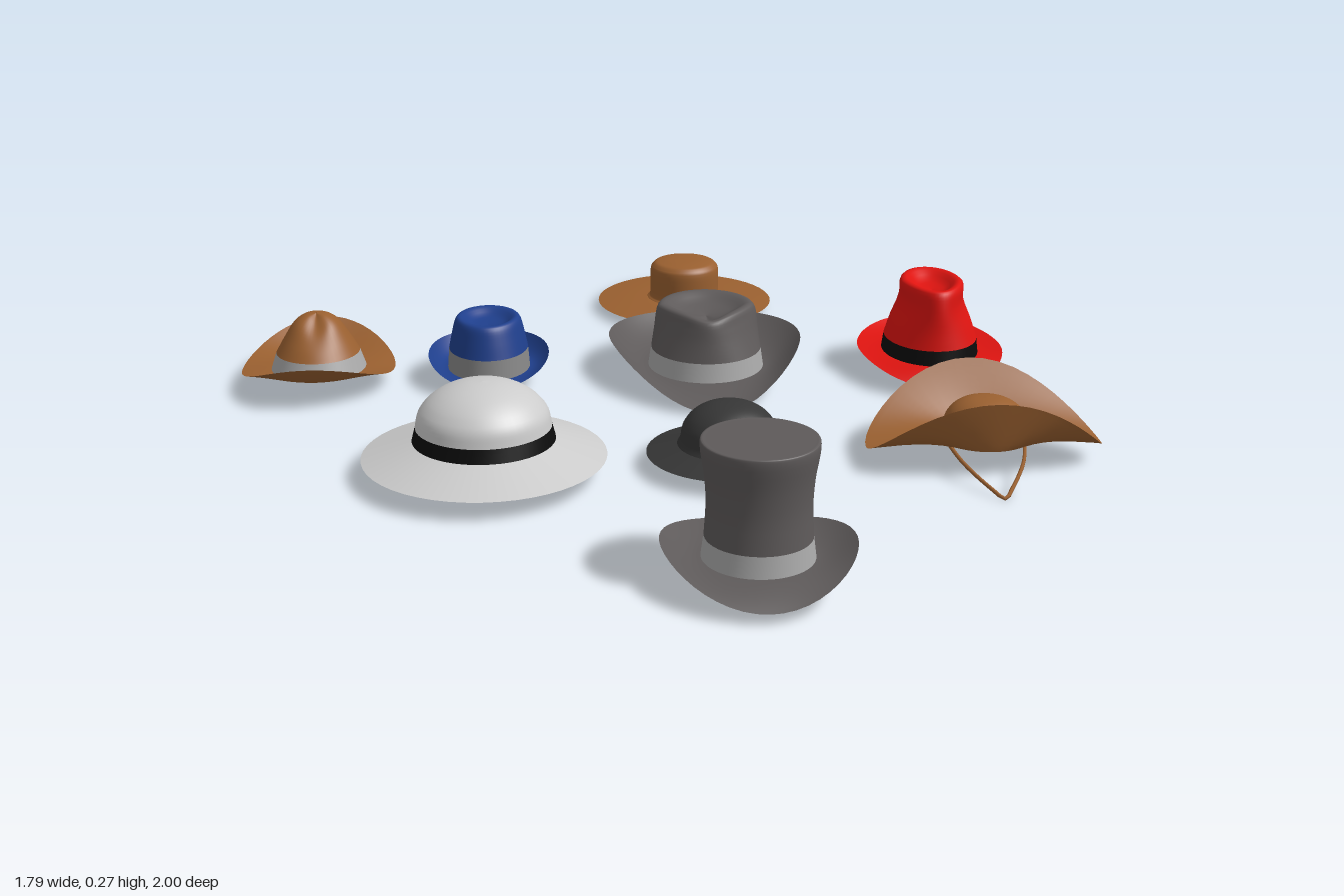
import * as THREE from 'three';

const BROWN = 0x9a6030, GREY = 0x5e5a5a, DARK = 0x363636, PALE = 0xcccccc;
const BLACK = 0x0c0c0c, RED = 0xdd1410, BLUE = 0x1f3f8c, BAND = 0xaaaaaa;
const SIDES = 48;
const lerp = THREE.MathUtils.lerp;

const material = color => new THREE.MeshStandardMaterial({ color, side: THREE.DoubleSide });

// Closed rings joined from the outside inwards; point(t, c, s) gives a vertex for angle cos/sin.
function sheet(name, color, rows, point) {
  const pos = [], index = [];
  for (let i = 0; i <= rows; i++) {
    for (let j = 0; j < SIDES; j++) {
      const a = j / SIDES * Math.PI * 2;
      pos.push(...point(i / rows, Math.cos(a), Math.sin(a)));
      if (i === rows) continue;
      const k = i * SIDES + j, n = i * SIDES + (j + 1) % SIDES;
      index.push(k, k + SIDES, n, n, k + SIDES, n + SIDES);
    }
  }
  const geo = new THREE.BufferGeometry();
  geo.setAttribute('position', new THREE.Float32BufferAttribute(pos, 3));
  geo.setIndex(index);
  geo.computeVertexNormals();
  const mesh = new THREE.Mesh(geo, material(color));
  mesh.name = name;
  return mesh;
}

// A hat: brim (half widths bx, front bf, back bb, edge height rule), optional band, then crown.
// Crown profile rows are [x scale, y, z scale] of the base ellipse rx, rz.
function hat(o) {
  const g = new THREE.Group();
  g.name = o.name;
  g.position.set(o.at[0], 0, o.at[1]);
  const { rx, rz, y0, egg = 0, curl = 1.5 } = o;
  g.add(sheet('brim', o.color, 10, (t, c, s) => {
    const k = 1 - t;
    return [
      lerp(rx * c, o.bx * c * (1 - egg * s), k),
      lerp(y0, o.edge(c, s), Math.pow(k, curl)),
      lerp(rz * s, (s > 0 ? o.bf : o.bb) * s, k)
    ];
  }));
  const [sx, y1, sz = sx] = o.profile[0];
  if (o.band !== undefined) {
    g.add(sheet('hatBand', o.band, 2, (t, c, s) =>
      [rx * c * lerp(1, sx, t), lerp(y0, y1, t), rz * s * lerp(1, sz, t)]));
  }
  const curve = new THREE.CatmullRomCurve3(
    o.profile.map(([x, y, z = x]) => new THREE.Vector3(x, y, z)), false, 'centripetal');
  g.add(sheet('crown', o.color, 22, (t, c, s) => {
    const p = curve.getPoint(t);
    const h = THREE.MathUtils.clamp((p.y - y1) / 0.08, 0, 1);
    const pinch = 1 - (o.pinch || 0) * h * Math.max(0, s);
    const dent = (o.dent || 0) * Math.max(0, s) ** 6 * Math.sin(Math.PI * Math.min(1, p.x)) * h;
    return [Math.max(p.x, 0.002) * rx * c * pinch, p.y - dent, Math.max(p.z, 0.002) * rz * s];
  }));
  return g;
}

// Domed crown profile from y1 up to top
const dome = (y1, top, n = 6, power = 1) => Array.from({ length: n + 1 }, (_, i) => {
  const a = i / n * Math.PI / 2;
  return [Math.cos(a) ** power, lerp(y1, top, Math.sin(a))];
});

export function createModel() {
  const model = new THREE.Group();
  model.name = 'hatCollection';

  // Wide flat-brimmed hat with a low round crown
  model.add(hat({
    name: 'flatHat', color: BROWN, at: [0.13, -0.785], rx: 0.092, rz: 0.092, y0: 0.035,
    bx: 0.215, bf: 0.215, bb: 0.215, edge: () => 0.026,
    profile: [[1, 0.035], [0.92, 0.05], [0.92, 0.1], [0.85, 0.118], [0.6, 0.127], [0, 0.13]]
  }));

  // Peaked hat with the front and back of the brim turned up
  model.add(hat({
    name: 'peakedHat', color: BROWN, band: BAND, at: [-0.73, -0.265], rx: 0.105, rz: 0.11, y0: 0.045,
    bx: 0.17, bf: 0.195, bb: 0.19, edge: (c, s) => 0.042 + 0.06 * s * s,
    profile: [[0.88, 0.082], [0.7, 0.115], [0.48, 0.15], [0.25, 0.167], [0, 0.17]], dent: 0.02
  }));

  // Small trilby
  model.add(hat({
    name: 'trilby', color: BLUE, band: 0x888888, at: [-0.35, -0.265], rx: 0.092, rz: 0.112, y0: 0.04,
    bx: 0.135, bf: 0.15, bb: 0.15, edge: (c, s) => 0.055 + 0.015 * c * c - 0.022 * s, curl: 2,
    profile: [[0.96, 0.085], [0.88, 0.12], [0.8, 0.148], [0.68, 0.156], [0.4, 0.14], [0, 0.135]],
    pinch: 0.12
  }));

  // Large grey fedora, brim narrowing and dipping at the front
  model.add(hat({
    name: 'greyFedora', color: GREY, band: BAND, at: [0.14, -0.27], rx: 0.13, rz: 0.14, y0: 0.033,
    bx: 0.215, bf: 0.27, bb: 0.255, egg: 0.16, curl: 1.7,
    edge: (c, s) => 0.09 * c * c + s * s * (s > 0 ? 0.01 : 0.08),
    profile: [[0.95, 0.075], [0.9, 0.12], [0.86, 0.16], [0.76, 0.175], [0.45, 0.158], [0, 0.145]],
    pinch: 0.4, dent: 0.012
  }));

  // Tall red fedora
  model.add(hat({
    name: 'redFedora', color: RED, band: BLACK, at: [0.65, -0.265], rx: 0.108, rz: 0.13, y0: 0.06,
    bx: 0.163, bf: 0.195, bb: 0.19, edge: (c, s) => 0.065 * c * c + s * s * (s > 0 ? 0.03 : 0.08),
    profile: [[0.96, 0.093], [0.85, 0.13, 0.92], [0.66, 0.185, 0.88], [0.66, 0.212, 0.84],
      [0.54, 0.224, 0.74], [0.3, 0.205, 0.4], [0, 0.198]],
    pinch: 0.2
  }));

  // Sun hat with a dome crown and sloping brim
  model.add(hat({
    name: 'sunHat', color: PALE, band: BLACK, at: [-0.35, 0.295], rx: 0.143, rz: 0.143, y0: 0.08,
    bx: 0.245, bf: 0.245, bb: 0.245, edge: () => 0.045, curl: 1,
    profile: dome(0.108, 0.2).map(([r, y]) => [r * 0.95, y])
  }));

  // Small dark round hat
  model.add(hat({
    name: 'bowler', color: DARK, at: [0.14, 0.285], rx: 0.105, rz: 0.105, y0: 0.055,
    bx: 0.167, bf: 0.167, bb: 0.167, edge: () => 0.037, curl: 1,
    profile: [[1, 0.055], ...dome(0.068, 0.142, 6, 0.9).map(([r, y]) => [r * 0.94, y])]
  }));

  // Top hat with a waisted crown and brim curled up at the sides
  model.add(hat({
    name: 'topHat', color: GREY, band: BAND, at: [0.14, 0.815], rx: 0.102, rz: 0.102, y0: 0.05,
    bx: 0.175, bf: 0.185, bb: 0.182, curl: 1.7,
    edge: (c, s) => 0.082 * c * c + s * s * (s > 0 ? 0.025 : 0.045),
    profile: [[0.95, 0.09], [0.92, 0.15], [0.95, 0.2], [1.03, 0.255], [1.03, 0.266],
      [1.0, 0.27], [0.95, 0.27], [0, 0.27]]
  }));

  // Wide hat with front and back of the brim swept up, and a chin strap
  const strapped = hat({
    name: 'strappedHat', color: BROWN, at: [0.655, 0.295], rx: 0.092, rz: 0.085, y0: 0.06,
    bx: 0.24, bf: 0.108, bb: 0.178, edge: (c, s) => 0.043 + 0.125 * s * s, curl: 1.2,
    profile: [[1, 0.06], ...dome(0.085, 0.145, 6, 0.8).map(([r, y]) => [r * 0.92, y])]
  });
  for (const [z, y] of [[0.2, 0.009], [-0.07, 0.012]]) {
    const path = new THREE.CatmullRomCurve3([
      [-0.082, 0.06, 0], [-0.06, 0.04, z * 0.45], [-0.02, y + 0.008, z * 0.85], [0, y, z],
      [0.02, y + 0.008, z * 0.85], [0.06, 0.04, z * 0.45], [0.082, 0.06, 0]
    ].map(p => new THREE.Vector3(...p)));
    const strap = new THREE.Mesh(new THREE.TubeGeometry(path, 32, 0.004, 6), material(BROWN));
    strap.name = 'chinStrap';
    strapped.add(strap);
  }
  model.add(strapped);

  return model;
}
